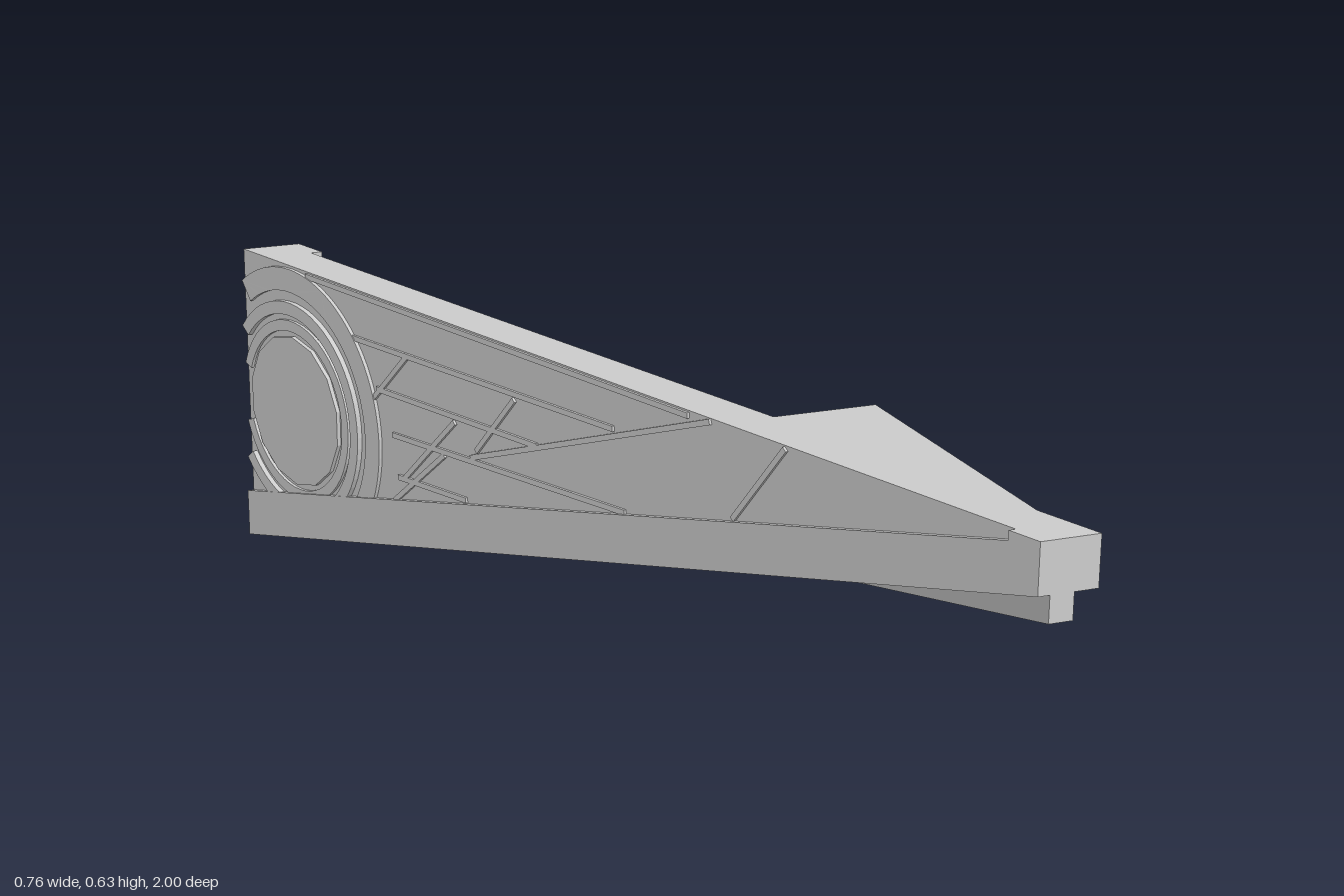
import * as THREE from 'three';

const material = new THREE.MeshStandardMaterial({ color: 0xcccccc, flatShading: true });

// Key lines of the wedge, as functions of z
const outer = z => -0.05 + 0.33 * z;          // slanted outer wall plane
const belly = z => 0.296 + 0.249 * z;         // main underside
const keelY = z => 0.25 + 0.25 * z;           // underside of the keel
const offset = d => z => outer(z) + d;
const TOP = 0.63;

function add(parent, name, geometry) {
  const mesh = new THREE.Mesh(geometry, material);
  mesh.name = name;
  parent.add(mesh);
  return mesh;
}

function shapeOf(points) {
  return new THREE.Shape(points.map(p => new THREE.Vector2(p[0], p[1])));
}

// Side profile of [z, y] points spanning between two x limits that vary with z
function prism(profile, left, right) {
  const geo = new THREE.ExtrudeGeometry(shapeOf(profile), { depth: 1, bevelEnabled: false });
  const p = geo.attributes.position;
  for (let i = 0; i < p.count; i++) {
    const z = p.getX(i), y = p.getY(i), t = p.getZ(i);
    p.setXYZ(i, right(z) + (left(z) - right(z)) * t, y, z);
  }
  geo.computeVertexNormals();
  return geo;
}

// Flat rectangular frame with a rectangular opening
function frame(x0, x1, y0, y1, hole, depth) {
  const rect = (a, b, c, d) => [[a, c], [b, c], [b, d], [a, d]];
  const shape = shapeOf(rect(x0, x1, y0, y1));
  shape.holes.push(shapeOf(rect(...hole).reverse()));
  return new THREE.ExtrudeGeometry(shape, { depth, bevelEnabled: false });
}

export function createModel() {
  const group = new THREE.Group();
  const side = () => 0.34;

  // Stepped deck body
  add(group, 'deckBody', prism([
    [-0.96, belly(-0.96)], [0.88, belly(0.88)], [0.88, TOP], [0.33, TOP],
    [0.33, 0.545], [-0.4, 0.39], [-0.55, 0.337], [-0.55, 0.32],
    [-0.505, 0.312], [-0.495, 0.295], [-0.96, 0.295],
  ], offset(0.05), side));

  // Keel strip below the straight side
  add(group, 'keel', prism([
    [-1, keelY(-1)], [1, keelY(1)], [1, belly(1)], [-1, belly(-1)],
  ], z => 0.285 + 0.015 * z, side));

  // Slanted wall, running on into the nose
  add(group, 'slantedWall', prism([
    [-1, belly(-1)], [1, belly(1)], [1, TOP], [-1, TOP],
  ], offset(0.012), offset(0.1)));

  // Raised border along the bottom and nose of the wall
  add(group, 'wallRim', prism([
    [-1, belly(-1)], [1, belly(1)], [1, TOP], [0.94, TOP], [0.94, 0.614], [-1, 0.139],
  ], offset(0), offset(0.03)));

  // Pillar at the back end of the wall
  add(group, 'backPillar', prism([
    [-1, 0.27], [-0.925, 0.27], [-0.925, TOP], [-1, TOP],
  ], offset(0.012), offset(0.122)));

  // Back plate with a stepped recess
  const outerFrame = frame(-0.33, 0.34, belly(-1), 0.287, [-0.24, 0.294, 0.105, 0.255], 0.015);
  add(group, 'backFrame', outerFrame).position.z = -1;
  const innerFrame = frame(-0.3, 0.34, belly(-0.96), 0.295, [-0.215, 0.262, 0.128, 0.23], 0.027);
  add(group, 'backInnerFrame', innerFrame).position.z = -0.986;

  // Wall relief: local x runs along the wall, y is up, z points outward
  const relief = new THREE.Group();
  relief.name = 'wallRelief';
  relief.position.set(-0.368, 0, -1);
  relief.rotation.y = -Math.atan2(2, 0.66);
  group.add(relief);
  const along = x => (x + 0.368) / 0.3134;
  const cx = 0.168, cy = 0.345;

  // Round boss and its concentric rings, cut off at the back edge
  const disc = add(relief, 'roundBoss', new THREE.CylinderGeometry(0.148, 0.148, 0.012, 14));
  disc.rotation.x = Math.PI / 2;
  disc.position.set(cx, cy, 0.002);
  for (const [r0, r1, h] of [[0.157, 0.178, 0.006], [0.19, 0.215, 0.01], [0.235, 0.28, 0.007]]) {
    const end = Math.acos(Math.max(-1, -cx / r1));
    const start = r1 > 0.25 ? -0.85 : -end;
    const shape = new THREE.Shape();
    shape.absarc(cx, cy, r1, start, end, false);
    shape.absarc(cx, cy, r0, end, start, true);
    const geo = new THREE.ExtrudeGeometry(shape, { depth: h, bevelEnabled: false, curveSegments: 24 });
    add(relief, 'ring', geo);
  }

  // Thin ribs forming the panel pattern: x, y of both ends
  const ribs = [
    [-0.26, 0.536, -0.015, 0.551], [-0.3, 0.622, 0.045, 0.622],
    [0.062, 0.625, -0.14, 0.396], [0.118, 0.625, 0.08, 0.475],
    [-0.23, 0.455, -0.08, 0.467], [-0.1, 0.535, -0.135, 0.412],
    [-0.2, 0.538, -0.235, 0.43], [-0.215, 0.378, -0.005, 0.411],
    [-0.155, 0.45, -0.205, 0.3], [-0.21, 0.3, -0.145, 0.311],
    [-0.165, 0.38, -0.215, 0.25],
  ];
  for (const [x0, y0, x1, y1] of ribs) {
    const dx = along(x1) - along(x0), dy = y1 - y0;
    const rib = add(relief, 'panelRib', new THREE.BoxGeometry(Math.hypot(dx, dy), 0.01, 0.01));
    rib.position.set(along((x0 + x1) / 2), (y0 + y1) / 2, 0);
    rib.rotation.z = Math.atan2(dy, dx);
  }

  return group;
}
